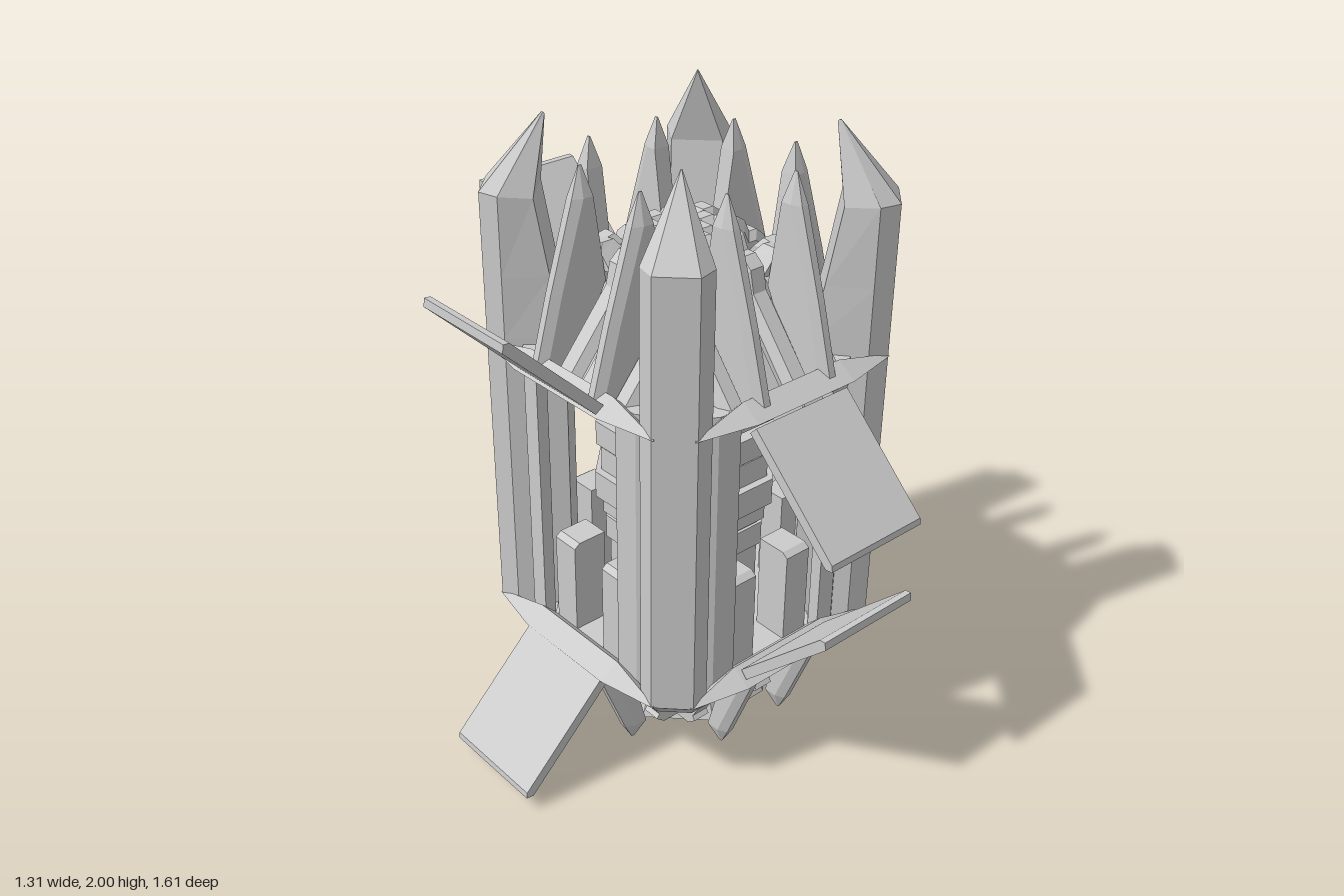
import * as THREE from 'three';

const mat = new THREE.MeshStandardMaterial({ color: 0xcccccc, flatShading: true });
const matDouble = new THREE.MeshStandardMaterial({ color: 0xcccccc, flatShading: true, side: THREE.DoubleSide });

function add(parent, geometry, name, material = mat) {
  const mesh = new THREE.Mesh(geometry, material);
  mesh.name = name;
  parent.add(mesh);
  return mesh;
}

// Closed solid through equal-length rings of [x, y, z]; wound outward by its signed volume
function loft(rings) {
  const tris = [];
  const n = rings[0].length;
  for (let i = 0; i < rings.length - 1; i++) {
    for (let j = 0; j < n; j++) {
      const k = (j + 1) % n, a = rings[i], b = rings[i + 1];
      tris.push([a[j], a[k], b[k]], [a[j], b[k], b[j]]);
    }
  }
  const last = rings[rings.length - 1];
  for (let j = 1; j < n - 1; j++) {
    tris.push([rings[0][0], rings[0][j + 1], rings[0][j]], [last[0], last[j], last[j + 1]]);
  }
  const v = (p) => new THREE.Vector3(...p);
  const volume = tris.reduce((s, [a, b, c]) => s + v(a).dot(v(b).cross(v(c))), 0);
  const flat = tris.flatMap(([a, b, c]) => (volume < 0 ? [a, c, b] : [a, b, c])).flat();
  const g = new THREE.BufferGeometry();
  g.setAttribute('position', new THREE.Float32BufferAttribute(flat, 3));
  g.computeVertexNormals();
  return g;
}

// Horizontal outline [x, z] raised from y0 to y1
const prism = (pts, y0, y1) => loft([y0, y1].map((y) => pts.map(([x, z]) => [x, y, z])));
// Profile [z, y] extruded across x, from x0 to x1
const slab = (pts, x0, x1) => {
  const g = new THREE.ExtrudeGeometry(new THREE.Shape(pts.map(([z, y]) => new THREE.Vector2(-z, y))),
    { depth: x1 - x0, bevelEnabled: false });
  return g.rotateY(Math.PI / 2).translate(x0, 0, 0);
};
// Bevelled rib following a [z, y] path: narrow outside, wide base inside
const rib = (path, x, w) => loft(path.map(([z, y]) => [
  [x - 0.55 * w, y, z], [x + 0.55 * w, y, z], [x + w, y - 0.025, z - 0.02],
  [x + w, y - 0.07, z - 0.06], [x - w, y - 0.07, z - 0.06], [x - w, y - 0.025, z - 0.02]]));
// Square with cut corners: a = half width, b = half length of the flat
const cutSquare = (a, b) => [[a, -b], [a, b], [b, a], [-b, a], [-a, b], [-a, -b], [-b, -a], [b, -a]];
// Eight-sided frustum with flats facing the sides, radii measured to the flats
const octagon = (rTop, rBottom, y0, y1) => {
  const c = Math.cos(Math.PI / 8);
  return new THREE.CylinderGeometry(rTop / c, rBottom / c, y1 - y0, 8, 1, false, Math.PI / 8)
    .translate(0, (y0 + y1) / 2, 0);
};

// Corner pillar along the diagonal: pointed blade above, raked foot running into the hull
function pillar() {
  const ring = (o, m, i, w, yo, ym, yi) => [
    [-0.064 * w, yo, o], [0.064 * w, yo, o], [0.1 * w, ym, m],
    [0.08 * w, yi, i], [-0.08 * w, yi, i], [-0.1 * w, ym, m]];
  return loft([
    ring(0.43, 0.4, 0.32, 0.8, 0.2, 0.2, 0.19),
    ring(0.6, 0.54, 0.36, 1, 0.36, 0.33, 0.28),
    ring(0.6, 0.54, 0.36, 1, 1.33, 1.33, 1.33),
    ring(0.6, 0.54, 0.4, 1, 1.53, 1.53, 1.53),
    ring(0.6, 0.54, 0.44, 1, 1.78, 1.78, 1.77),
    ring(0.42, 0.415, 0.41, 0.02, 2, 2, 1.995),
  ]);
}

// Narrow leaning fin; rows are [y, outer, inner, width scale]
function fin(rows, x) {
  return loft(rows.map(([y, o, i, w]) => [
    [x - 0.012 * w, y, o], [x + 0.012 * w, y, o], [x + 0.028 * w, y, o - 0.03 * w],
    [x + 0.028 * w, y, i], [x - 0.028 * w, y, i], [x - 0.028 * w, y, o - 0.03 * w]]));
}

// Tapered sill above or below a doorway
function sill(y) {
  const diamond = (x, z, h, d) => [[x, y + h, z - d * 0.3], [x, y, z + d], [x, y - h, z - d * 0.3], [x, y, z - d * 1.2]];
  return loft([diamond(-0.385, 0.465, 0.004, 0.005), diamond(-0.19, 0.46, 0.045, 0.05),
    diamond(0.19, 0.46, 0.045, 0.05), diamond(0.385, 0.465, 0.004, 0.005)]);
}

// Hinged door leaf, tilted; its free edge is slightly bevelled
function flap(parent, y, angle, name) {
  const o = [[-0.22, -0.017], [0.21, -0.017], [0.226, 0.004], [0.21, 0.017], [-0.22, 0.017]];
  const leaf = add(parent, slab(o, -0.182, 0.182), name);
  leaf.position.set(0, y, 0.638);
  leaf.rotation.x = angle;
}

function side(kind) {
  const g = new THREE.Group();
  add(g, sill(1.298), 'upperSill');
  add(g, sill(0.363), 'lowerSill');

  for (const s of [-1, 1]) {
    add(g, fin([[1.28, 0.49, 0.36, 1], [1.53, 0.42, 0.23, 1], [1.8, 0.335, 0.27, 1], [1.89, 0.3, 0.29, 0.08]], s * 0.13), 'upperFin');
    add(g, fin([[0.005, 0.34, 0.33, 0.1], [0.07, 0.375, 0.3, 1], [0.36, 0.49, 0.38, 1]], s * 0.13), 'lowerFin');

    // Stepped roof ribs meeting across the crown
    const x = s * 0.052;
    add(g, rib([[0.44, 1.3], [0.25, 1.53], [0.235, 1.6], [0.2, 1.63], [0.17, 1.63], [0.15, 1.67], [0.12, 1.69],
      [0.08, 1.69], [0.06, 1.67], [0.045, 1.67], [0.02, 1.69], [0, 1.69]], x, 0.046), 'roofRib');
    add(g, rib([[0.43, 1.3], [0.24, 1.53], [0.205, 1.62], [0.14, 1.63]], s * 0.19, 0.04), 'outerRoofRib');

    // Ribs under the floor with small feet
    for (const [c, w, r] of [[x, 0.034, 0], [s * 0.205, 0.03, -0.02]]) {
      add(g, slab([[0.45 + r, 0.35], [0.33 + r, 0.15], [0.34 + r, 0.135], [0.31 + r, 0.11], [0.22, 0.11], [0.22, 0.35]],
        c - w, c + w), 'floorRib');
    }

    // Door jamb and the console standing inside it
    add(g, prism([[0.185, 0.435], [0.26, 0.425], [0.33, 0.37], [0.3, 0.32], [0.185, 0.395]].map(([a, b]) => [s * a, b]),
      0.34, 1.31), 'doorJamb');
    add(g, slab([[0.4, 0.36], [0.4, 0.67], [0.38, 0.685], [0.28, 0.685], [0.28, 0.36]], s * 0.115 - 0.048, s * 0.115 + 0.048), 'console');
  }

  if (kind === 'closed') {
    // Gently curved shut door
    add(g, prism([[-0.26, 0.425], [-0.19, 0.44], [-0.08, 0.455], [0.08, 0.455], [0.19, 0.44], [0.26, 0.425],
      [0.2, 0.395], [-0.2, 0.395]], 0.34, 1.31), 'closedDoor');
  } else if (kind === 'half') {
    flap(g, 1.11, 0.76, 'upperDoor');
    flap(g, 0.55, -0.77, 'lowerDoor');
  } else {
    flap(g, 1.46, -0.77, 'upperDoor');
    flap(g, 0.21, 0.77, 'lowerDoor');
  }
  return g;
}

export function createModel() {
  const model = new THREE.Group();
  const pod = new THREE.Group();
  pod.name = 'pod';
  pod.position.set(0.149, 0, 0.004);
  model.add(pod);

  // Four sides: front half open, right closed, back and left fully open
  [['frontSide', 'half', 0], ['closedSide', 'closed', 1], ['backSide', 'open', 2], ['openSide', 'open', 3]]
    .forEach(([name, kind, k]) => {
      const g = side(kind);
      g.name = name;
      g.rotation.y = k * Math.PI / 2;
      pod.add(g);
      add(pod, pillar(), 'cornerPillar').rotation.y = Math.PI / 4 + k * Math.PI / 2;
    });

  // Roof, crown and floor hull
  add(pod, octagon(0.215, 0.41, 1.29, 1.53), 'roof');
  add(pod, octagon(0.13, 0.215, 1.53, 1.645), 'crown');
  add(pod, octagon(0.41, 0.27, 0.13, 0.36), 'floor');

  // Flared thruster dish, hollow underneath, with a small star of vanes
  const dish = [[0, 0.125], [0.17, 0.125], [0.25, 0.04], [0.277, 0.04], [0.235, 0.14]]
    .map(([r, y]) => new THREE.Vector2(r / Math.cos(Math.PI / 8), y));
  add(pod, new THREE.LatheGeometry(dish, 8, Math.PI / 8), 'thrusterDish', matDouble);
  for (let i = 0; i < 4; i++) {
    add(pod, new THREE.BoxGeometry(0.2, 0.04, 0.025).translate(0, 0.105, 0), 'thrusterVane').rotation.y = i * Math.PI / 4;
  }

  // Central column with stacked pads
  add(pod, prism(cutSquare(0.22, 0.11), 0.35, 1.3), 'column');
  for (const [y, h, a] of [[0.62, 0.08, 0.23], [0.72, 0.07, 0.24], [0.79, 0.09, 0.27], [0.88, 0.08, 0.245],
    [0.98, 0.08, 0.265], [1.08, 0.07, 0.25], [1.17, 0.08, 0.275]]) {
    add(pod, prism(cutSquare(a, 0.12), y, y + h), 'columnPad');
  }
  return model;
}
